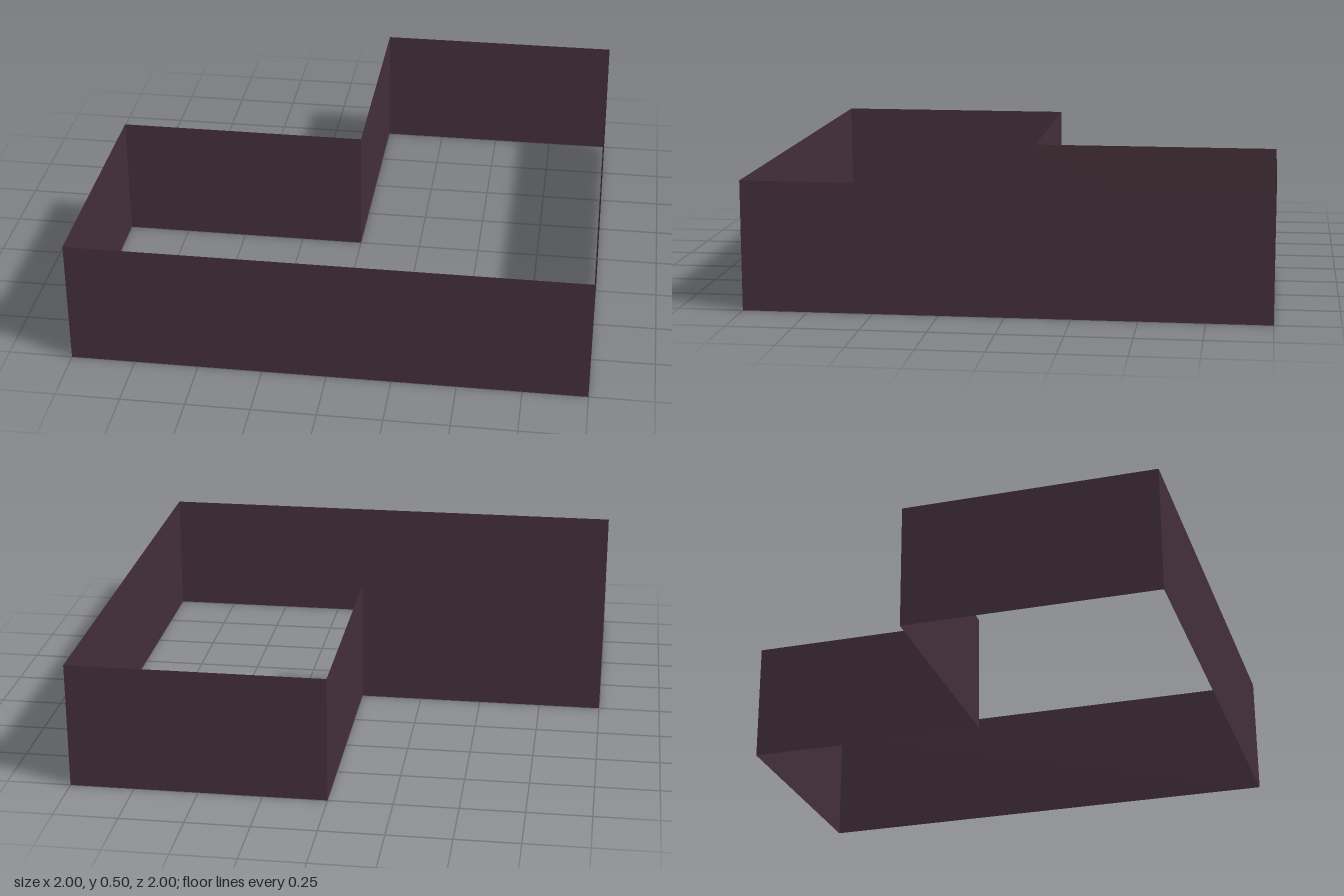
import * as THREE from 'three';

export function createModel() {
  const group = new THREE.Group();
  group.name = 'lShapedWallRing';

  const darkPlum = new THREE.MeshStandardMaterial({ color: 0x432f38, side: THREE.DoubleSide });
  darkPlum.name = 'dark plum';

  const height = 0.5;

  // Corners of the L-shaped plan as [name of wall starting here, x, z]
  const corners = [
    ['frontWall', -1, 1],
    ['leftWall', 1, 1],
    ['backWall', 1, -1],
    ['notchSideWall', 0, -1],
    ['notchBackWall', 0, 0],
    ['rightWall', -1, 0],
  ];

  // One upright sheet from each corner to the next, facing outward; open above and below
  corners.forEach(([name, x, z], i) => {
    const [, nextX, nextZ] = corners[(i + 1) % corners.length];
    const dx = nextX - x;
    const dz = nextZ - z;
    const wall = new THREE.Mesh(new THREE.PlaneGeometry(Math.hypot(dx, dz), height), darkPlum);
    wall.name = name;
    wall.position.set(x + dx / 2, height / 2, z + dz / 2);
    wall.rotation.y = Math.atan2(-dz, dx);
    group.add(wall);
  });

  return group;
}
